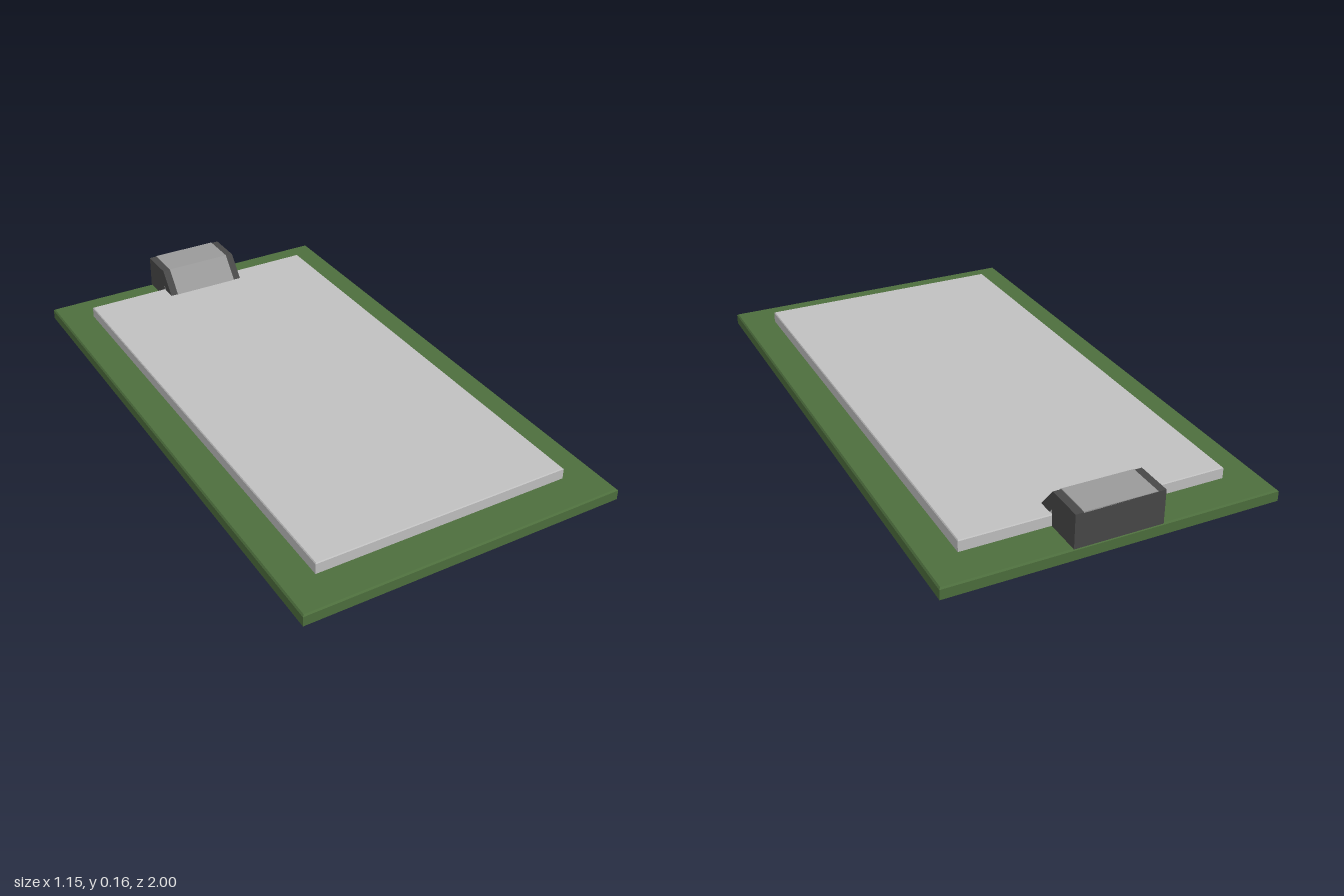
import * as THREE from 'three';

const material = (name, color) => {
  const m = new THREE.MeshStandardMaterial({ color });
  m.name = name;
  return m;
};

// Flat slab with a small chamfer around its top edge
function slab(width, depth, y0, y1, chamfer) {
  const geo = new THREE.BoxGeometry(width, 1, depth, 1, 2, 1);
  const p = geo.attributes.position;
  for (let i = 0; i < p.count; i++) {
    const level = p.getY(i);
    p.setY(i, level < -0.1 ? y0 : level > 0.1 ? y1 : y1 - chamfer);
    if (level > 0.1) {
      p.setX(i, p.getX(i) - Math.sign(p.getX(i)) * chamfer);
      p.setZ(i, p.getZ(i) - Math.sign(p.getZ(i)) * chamfer);
    }
  }
  const flat = geo.toNonIndexed();
  flat.computeVertexNormals();
  return flat;
}

// Extrude a side profile of [z, y] points across x, centred on x = 0
function across(points, width) {
  const shape = new THREE.Shape(points.map(([z, y]) => new THREE.Vector2(z, y)));
  const geo = new THREE.ExtrudeGeometry(shape, { depth: width, bevelEnabled: false });
  return geo.translate(0, 0, -width / 2).rotateY(-Math.PI / 2);
}

export function createModel() {
  const group = new THREE.Group();
  const green = material('board green', 0x4d6e3d);
  const pale = material('paper grey', 0xc0c0c0);
  const grey = material('clip plate grey', 0x9a9a9a);
  const dark = material('clip dark grey', 0x484848);

  const add = (name, geo, mat) => {
    const mesh = new THREE.Mesh(geo, mat);
    mesh.name = name;
    group.add(mesh);
  };

  add('board', slab(1.155, 2, 0, 0.04, 0.005), green);
  add('paperStack', slab(0.92, 1.735, 0.04, 0.08, 0.003), pale);

  // Clip: block at the back edge with a sloping jaw over the paper
  add('clipBody', across([
    [-1, 0.04], [-0.866, 0.04], [-0.866, 0.1], [-0.85, 0.08],
    [-0.8, 0.08], [-0.866, 0.16], [-1, 0.16],
  ], 0.306), dark);

  // Paper edge pushed up into the notch behind the jaw
  add('paperLip', across([[-0.866, 0.08], [-0.851, 0.08], [-0.866, 0.099]], 0.304), pale);

  // Thin plate wrapping the top and slope of the clip
  add('clipPlate', across([
    [-1, 0.158], [-0.867, 0.158], [-0.802, 0.08], [-0.798, 0.08],
    [-0.865, 0.162], [-1, 0.162],
  ], 0.25), grey);

  return group;
}
